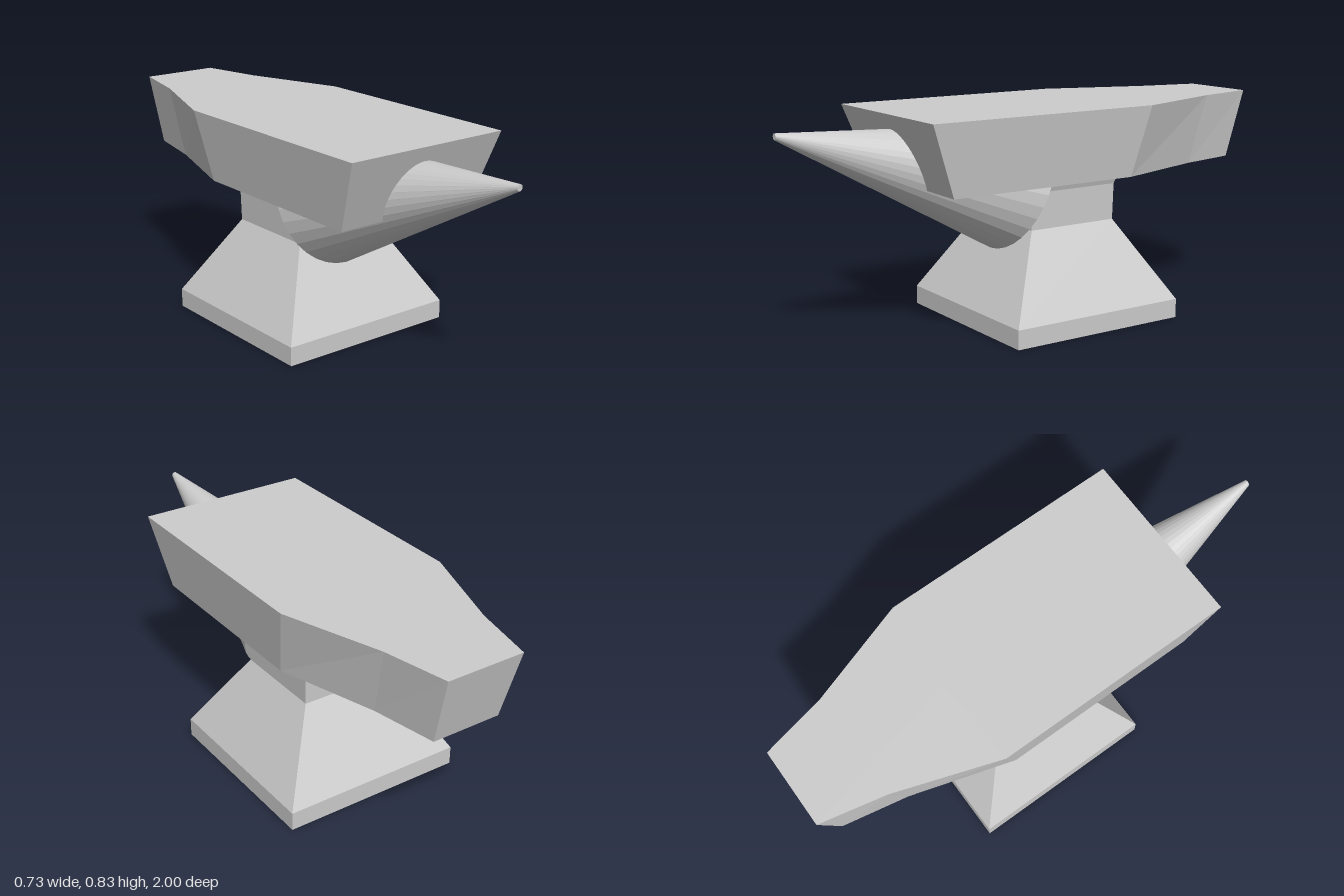
import * as THREE from 'three';

// Closed solid through rings of equal point count, counterclockwise as seen from the last ring's side
function loft(rings) {
  const pos = [];
  const tri = (...pts) => pts.forEach((p) => pos.push(...p));
  const n = rings[0].length;
  const centre = (ring) => [0, 1, 2].map((k) => ring.reduce((s, p) => s + p[k], 0) / n);
  const first = rings[0], last = rings[rings.length - 1];
  const c0 = centre(first), c1 = centre(last);
  for (let i = 0; i < n; i++) {
    const j = (i + 1) % n;
    for (let r = 0; r < rings.length - 1; r++) {
      const lo = rings[r], hi = rings[r + 1];
      tri(lo[i], lo[j], hi[j]);
      tri(lo[i], hi[j], hi[i]);
    }
    tri(c0, first[j], first[i]);
    tri(c1, last[i], last[j]);
  }
  const geo = new THREE.BufferGeometry();
  geo.setAttribute('position', new THREE.Float32BufferAttribute(pos, 3));
  geo.computeVertexNormals();
  return geo;
}

// Horizontal mirrored outline from [halfWidth, z] points, front to back
function outline(half, y, cx) {
  const right = half.map(([w, z]) => [cx + w, y, z]);
  const left = half.map(([w, z]) => [cx - w, y, z]).reverse();
  return [...right, ...left];
}

export function createModel() {
  const group = new THREE.Group();
  const steel = new THREE.MeshStandardMaterial({ color: 0xcccccc, flatShading: true });
  steel.name = 'grey steel';
  const add = (name, geo) => {
    const mesh = new THREE.Mesh(geo, steel);
    mesh.name = name;
    group.add(mesh);
  };

  // Square foot, sloping up to a narrow waist that flares under the body
  const levels = [[0, 0.367], [0.073, 0.367], [0.38, 0.188], [0.52, 0.191], [0.57, 0.207]];
  add('pedestal', loft(levels.map(([y, h]) => outline([[h, -0.1 + h], [h, -0.1 - h]], y, 0))));

  // Long block with undercut sides, narrowing to the heel at the back
  add('body', loft([
    outline([[0.305, 0.485], [0.305, -0.29], [0.186, -0.68], [0.137, -0.93]], 0.56, -0.008),
    outline([[0.344, 0.585], [0.344, -0.355], [0.21, -0.748], [0.155, -1]], 0.83, -0.008),
  ]));

  // Horn: skewed cone from a tilted disc to a small blunt tip
  const ring = (y, z, rx, ry, rz) => Array.from({ length: 32 }, (_, i) => {
    const a = (i / 32) * Math.PI * 2;
    return [-0.009 + rx * Math.cos(a), y + ry * Math.sin(a), z + rz * Math.sin(a)];
  });
  add('horn', loft([ring(0.515, 0.042, 0.241, 0.23, -0.102), ring(0.781, 1, 0.012, 0.012, 0)]));

  return group;
}
